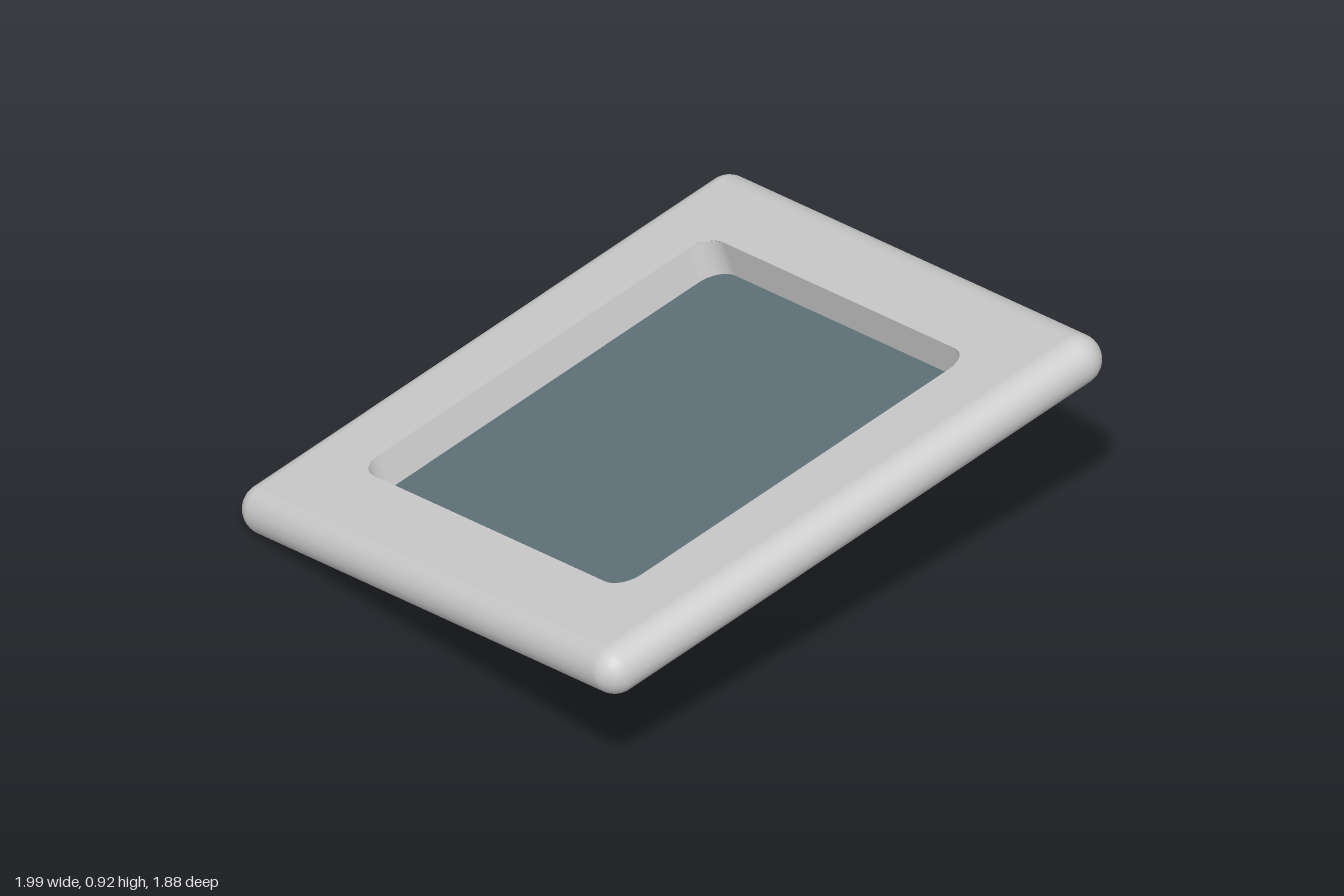
import * as THREE from 'three';

const CORE = 0.89;    // half side of the flat face; the round edge adds R
const R = 0.08;       // half thickness and edge radius
const HOLE = 0.675;   // half side of the opening
const HOLE_R = 0.08;  // opening corner radius
const TILT_X = THREE.MathUtils.degToRad(-15);
const TILT_Z = THREE.MathUtils.degToRad(10);

// Square outline with rounded corners
function roundedSquare(half, r, Type = THREE.Shape) {
  const c = half - r;
  const s = new Type();
  s.absarc(c, c, r, 0, Math.PI / 2);
  s.absarc(-c, c, r, Math.PI / 2, Math.PI);
  s.absarc(-c, -c, r, Math.PI, Math.PI * 1.5);
  s.absarc(c, -c, r, Math.PI * 1.5, Math.PI * 2);
  s.closePath();
  return s;
}

// Sweep a profile of [radius, y, normalOut, normalUp] around a square of corner centres
function sweepSquare(core, profile, inward = false, steps = 12) {
  const pos = [], nor = [], idx = [];
  const corners = [[1, 1], [-1, 1], [-1, -1], [1, -1]];
  const rows = profile.length, columns = 4 * (steps + 1);
  corners.forEach(([sx, sz], k) => {
    for (let i = 0; i <= steps; i++) {
      const t = (k + i / steps) * Math.PI / 2, cx = Math.cos(t), cz = Math.sin(t);
      for (const [r, y, no, nu] of profile) {
        pos.push(sx * core + cx * r, y, sz * core + cz * r);
        nor.push(cx * no, nu, cz * no);
      }
    }
  });
  for (let i = 0; i < columns; i++) {
    for (let j = 0; j < rows - 1; j++) {
      const a = i * rows + j, b = ((i + 1) % columns) * rows + j;
      if (inward) idx.push(a, b, a + 1, b, b + 1, a + 1);
      else idx.push(a, a + 1, b, b, a + 1, b + 1);
    }
  }
  const g = new THREE.BufferGeometry();
  g.setAttribute('position', new THREE.Float32BufferAttribute(pos, 3));
  g.setAttribute('normal', new THREE.Float32BufferAttribute(nor, 3));
  g.setIndex(idx);
  return g;
}

export function createModel() {
  const model = new THREE.Group();
  model.name = 'tiltedWindow';
  const frameMat = new THREE.MeshStandardMaterial({ color: 0xcccccc });
  const paneMat = new THREE.MeshStandardMaterial({ color: 0x60727a });

  const add = (parent, name, geometry, material) => {
    const mesh = new THREE.Mesh(geometry, material);
    mesh.name = name;
    parent.add(mesh);
    return mesh;
  };

  const frame = new THREE.Group();
  frame.name = 'frame';
  model.add(frame);

  // Fully rounded outer edge
  const edge = [];
  for (let j = 0; j <= 16; j++) {
    const a = (j / 16 - 0.5) * Math.PI, c = Math.cos(a), s = Math.sin(a);
    edge.push([R * c, R * s, c, s]);
  }
  add(frame, 'outerEdge', sweepSquare(CORE, edge), frameMat);

  // Straight wall of the opening
  const wall = [[HOLE_R, -R, -1, 0], [HOLE_R, R, -1, 0]];
  add(frame, 'innerWall', sweepSquare(HOLE - HOLE_R, wall, true), frameMat);

  // Flat faces above and below
  const face = new THREE.Shape();
  face.moveTo(-CORE, -CORE).lineTo(CORE, -CORE).lineTo(CORE, CORE).lineTo(-CORE, CORE).closePath();
  face.holes.push(roundedSquare(HOLE, HOLE_R, THREE.Path));
  for (const [name, side] of [['topFace', 1], ['bottomFace', -1]]) {
    const g = new THREE.ShapeGeometry(face, 12);
    g.rotateX(-side * Math.PI / 2).translate(0, side * R, 0);
    add(frame, name, g, frameMat);
  }

  // Thin pane set low in the opening
  const pane = new THREE.ExtrudeGeometry(roundedSquare(HOLE, HOLE_R), {
    depth: 0.02, bevelEnabled: false, curveSegments: 12,
  });
  pane.rotateX(-Math.PI / 2).translate(0, -0.06, 0);
  add(model, 'pane', pane, paneMat);

  // Tilt the whole plate and rest its lowest corner on the ground
  model.rotation.set(TILT_X, 0, TILT_Z, 'ZYX');
  const rise = R + CORE * (Math.sin(TILT_Z) + Math.cos(TILT_Z) * Math.sin(-TILT_X));
  model.position.y = rise;

  const root = new THREE.Group();
  root.name = 'model';
  root.add(model);
  return root;
}
